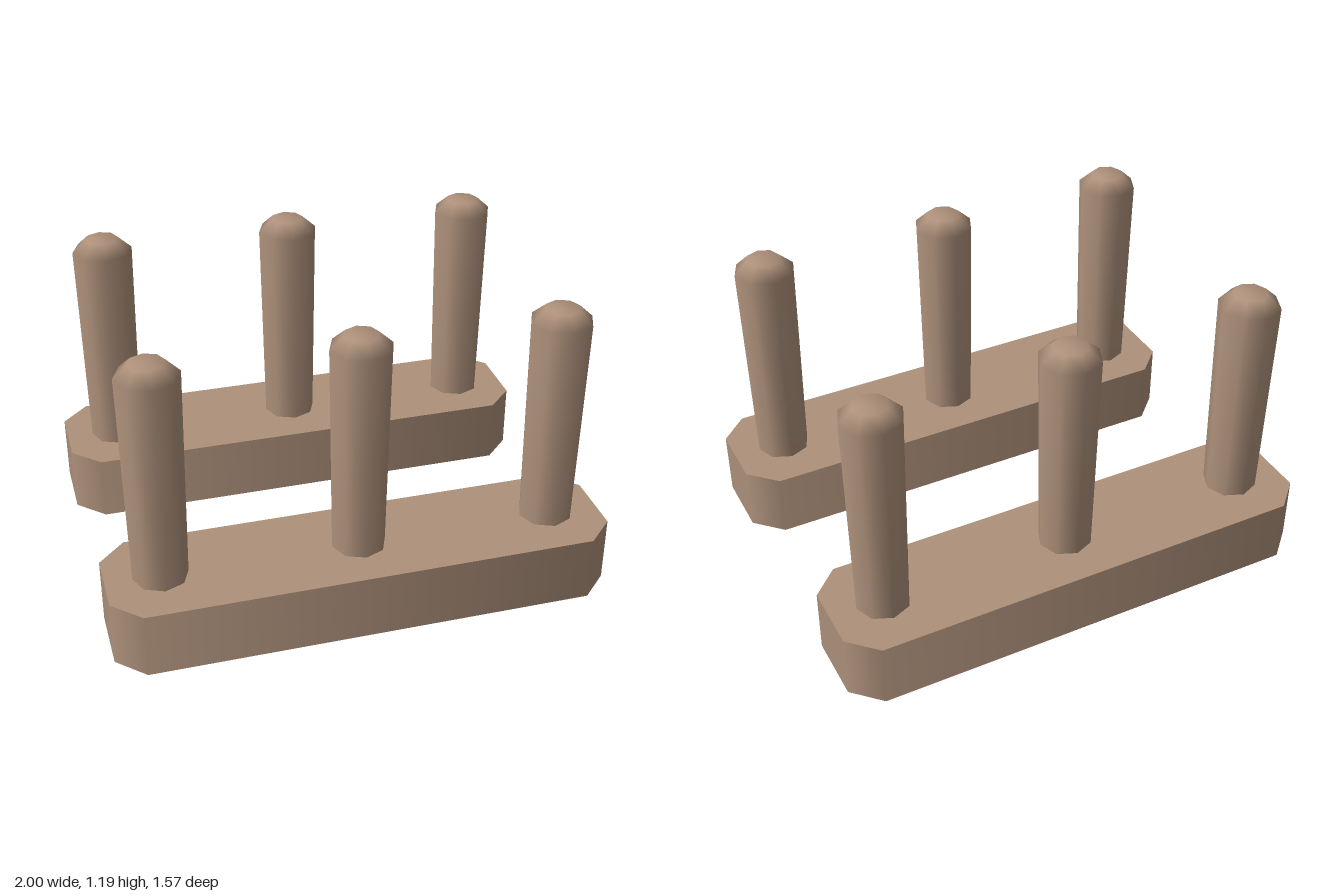
import * as THREE from 'three';

const wood = new THREE.MeshStandardMaterial({ color: 0xae917b });
wood.name = 'brown wood';

// Long bar with cut corners: an eight-sided prism stretched to its outline
function barGeometry() {
  const height = 0.27;
  const geo = new THREE.CylinderGeometry(1 / Math.cos(Math.PI / 8), 1 / Math.cos(Math.PI / 8), height, 8, 1, false, Math.PI / 8);
  const stretch = (v, inner, outer) => {
    const a = Math.abs(v);
    return a < 0.1 ? 0 : Math.sign(v) * (a > 0.9 ? outer : inner);
  };
  const p = geo.attributes.position;
  for (let i = 0; i < p.count; i++) {
    p.setX(i, stretch(p.getX(i), 0.89, 1));
    p.setZ(i, stretch(p.getZ(i), 0.135, 0.243));
  }
  return geo.translate(0, height / 2, 0);
}

// Peg that widens upwards and ends in a bevelled tip
function pegGeometry() {
  const profile = [[0.108, 0.26], [0.122, 1.14], [0.068, 1.19], [0, 1.19]];
  return new THREE.LatheGeometry(profile.map(([r, y]) => new THREE.Vector2(r, y)), 8);
}

export function createModel() {
  const model = new THREE.Group();
  model.name = 'pegRack';
  const bar = barGeometry();
  const peg = pegGeometry();

  // Two matching rows, each a bar with three pegs
  for (const side of [1, -1]) {
    const row = new THREE.Group();
    row.name = side > 0 ? 'frontRow' : 'backRow';
    row.position.z = side * 0.542;

    const base = new THREE.Mesh(bar, wood);
    base.name = 'base';
    row.add(base);

    for (const x of [-0.785, 0, 0.785]) {
      const post = new THREE.Mesh(peg, wood);
      post.name = 'peg';
      post.position.x = x;
      row.add(post);
    }
    model.add(row);
  }
  return model;
}
